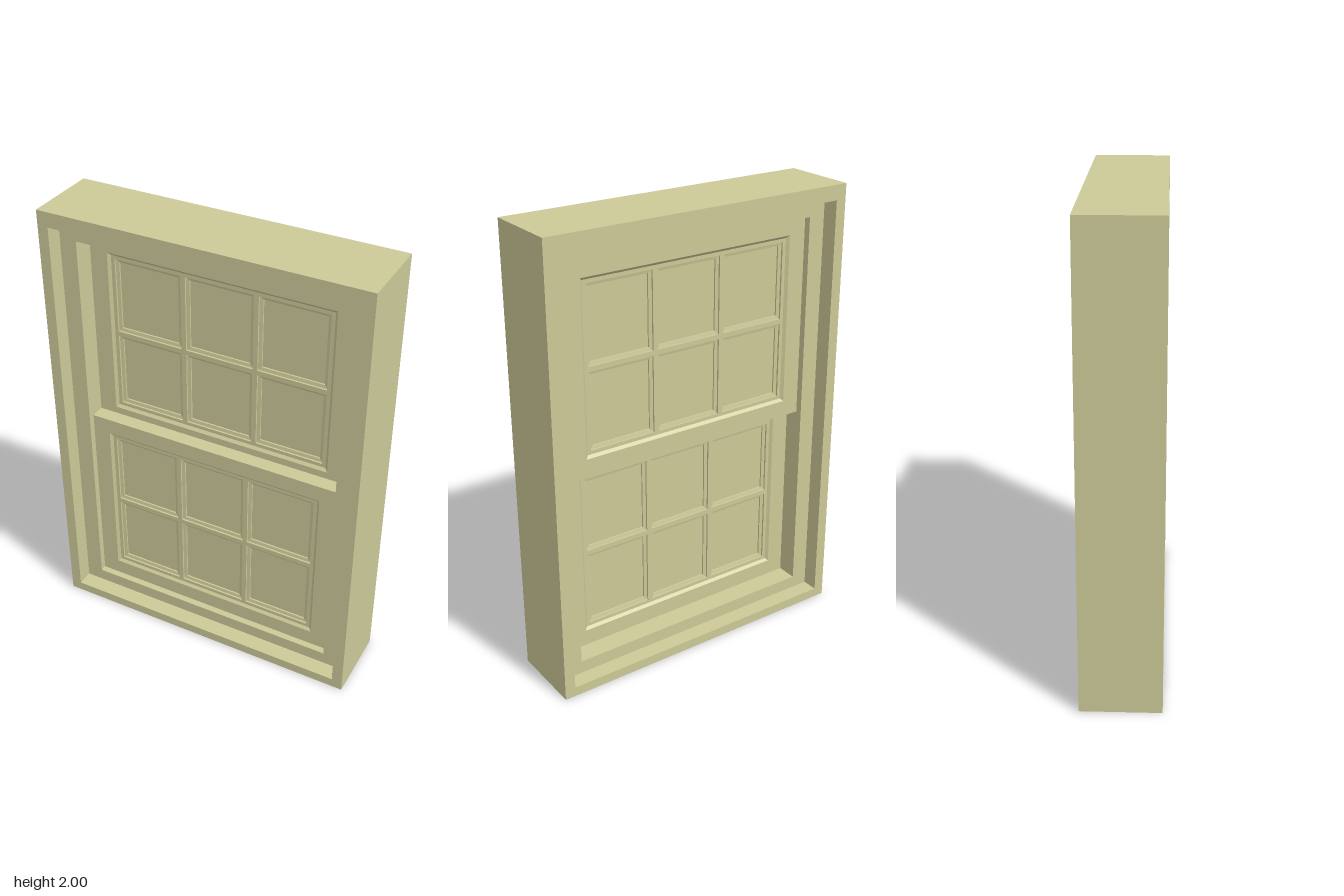
import * as THREE from 'three';

const paint = new THREE.MeshStandardMaterial({ color: 0xccc998 });
paint.name = 'khakiPaint';

// Rectangle outline from left, bottom, right, top
function rect(x0, y0, x1, y1, Kind = THREE.Shape) {
  const r = new Kind();
  r.moveTo(x0, y0);
  r.lineTo(x1, y0);
  r.lineTo(x1, y1);
  r.lineTo(x0, y1);
  r.closePath();
  return r;
}

// Flat plate with rectangular holes, centred on z = 0
function plate(name, outer, holes, depth) {
  const shape = rect(...outer);
  holes.forEach(h => shape.holes.push(rect(...h, THREE.Path)));
  const geo = new THREE.ExtrudeGeometry(shape, { depth, bevelEnabled: false });
  geo.translate(0, 0, -depth / 2);
  return named(name, geo);
}

// Mitred moulding: a closed loop of rectangular sections [halfWidth, halfHeight, z]
function moulding(name, rings) {
  const pos = [];
  const corners = ([w, h, z]) => [[-w, -h, z], [w, -h, z], [w, h, z], [-w, h, z]];
  rings.forEach((ring, k) => {
    const a = corners(ring), b = corners(rings[(k + 1) % rings.length]);
    for (let i = 0; i < 4; i++) {
      const j = (i + 1) % 4;
      pos.push(...a[i], ...a[j], ...b[j], ...a[i], ...b[j], ...b[i]);
    }
  });
  const geo = new THREE.BufferGeometry();
  geo.setAttribute('position', new THREE.Float32BufferAttribute(pos, 3));
  geo.computeVertexNormals();
  return named(name, geo);
}

function named(name, geo) {
  const mesh = new THREE.Mesh(geo, paint);
  mesh.name = name;
  return mesh;
}

const SASH_W = 0.588, SASH_H = 0.45, SASH_Z = 0.0325; // half sizes
const PANE_W = 0.305, PANE_H = 0.339, BAR = 0.022;

function sash(name) {
  const g = new THREE.Group();
  g.name = name;

  // Stiles and rails with a chamfered inner edge on both faces
  const lipW = 0.508, lipH = 0.378, cut = 0.012, gz = 0.022;
  g.add(moulding('stilesAndRails', [
    [SASH_W, SASH_H, -SASH_Z], [SASH_W, SASH_H, SASH_Z],
    [lipW, lipH, SASH_Z], [lipW - cut, lipH - cut, gz],
    [lipW - cut, lipH - cut, -gz], [lipW, lipH, -SASH_Z],
  ]));

  // Glazing bars, with a bead around each of the six panes
  const holes = [];
  for (let row = 0; row < 2; row++) {
    for (let col = 0; col < 3; col++) {
      const x = (col - 1) * (PANE_W + BAR), y = (row - 0.5) * (PANE_H + BAR);
      const w = PANE_W / 2, h = PANE_H / 2, b = 0.015;
      holes.push([x - w, y - h, x + w, y + h]);
      const bead = moulding('paneBead', [
        [w, h, -0.014], [w, h, 0.014],
        [w - b, h - b, 0.011], [w - b, h - b, -0.011],
      ]);
      bead.position.set(x, y, 0);
      const pane = named('pane', new THREE.BoxGeometry(PANE_W, PANE_H, 0.008));
      pane.position.set(x, y, 0);
      g.add(bead, pane);
    }
  }
  const gw = lipW - cut, gh = lipH - cut;
  g.add(plate('glazingBars', [-gw, -gh, gw, gh], holes, gz * 2));
  return g;
}

export function createModel() {
  const model = new THREE.Group();
  model.name = 'sashWindow';

  // Outer casing and the shallower stop frame inside it
  const opening = [-0.665, 0.043, 0.665, 1.934];
  const inner = [-SASH_W, 0.1, SASH_W, 1.86];
  model.add(plate('casing', [-0.713, 0, 0.713, 2], [opening], 0.338));
  model.add(plate('stopFrame', opening, [inner], 0.19));

  // Lower sash runs in front, upper sash behind
  const lower = sash('lowerSash');
  lower.position.set(0, 0.1 + SASH_H, SASH_Z);
  const upper = sash('upperSash');
  upper.position.set(0, 1.86 - SASH_H, -SASH_Z);
  model.add(lower, upper);
  return model;
}
